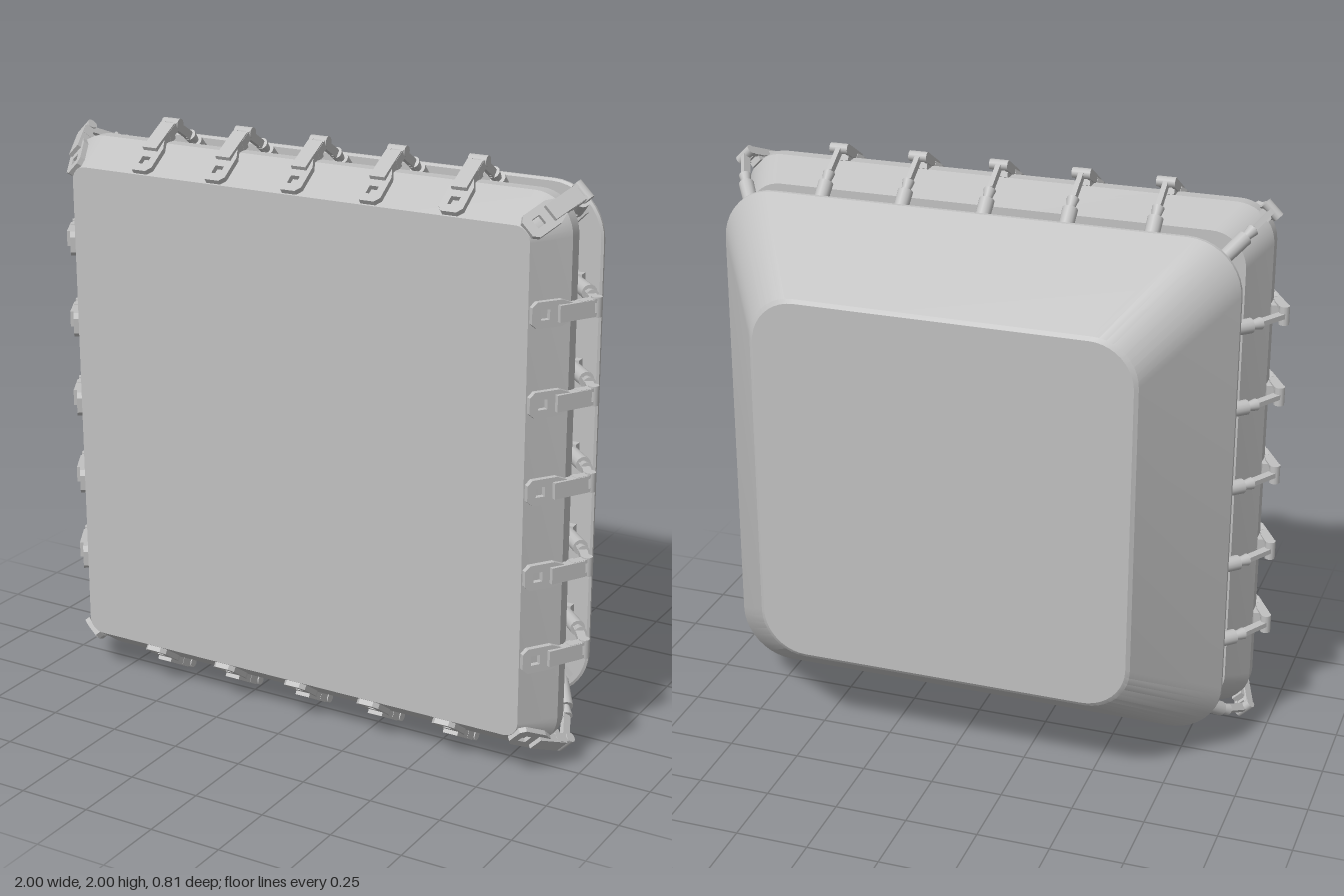
import * as THREE from 'three';
import { toCreasedNormals } from 'three/addons/utils/BufferGeometryUtils.js';

const steel = new THREE.MeshStandardMaterial({ color: 0xc0c0c0 });
steel.name = 'grey steel';

// Closed solid through rounded squares, each [z, half width, corner radius], front to back
function roundedLoft(sections) {
  const seg = 10, n = 4 * (seg + 1), pos = [], idx = [];
  for (const [z, half, r] of sections) {
    for (let q = 0; q < 4; q++) {
      const mid = Math.PI / 4 + q * Math.PI / 2;
      const cx = Math.sign(Math.cos(mid)) * (half - r), cy = Math.sign(Math.sin(mid)) * (half - r);
      for (let s = 0; s <= seg; s++) {
        const a = (q + s / seg) * Math.PI / 2;
        pos.push(cx + r * Math.cos(a), cy + r * Math.sin(a), z);
      }
    }
  }
  const last = sections.length - 1, front = pos.length / 3, back = front + 1;
  pos.push(0, 0, sections[0][0], 0, 0, sections[last][0]);
  for (let j = 0; j < n; j++) {
    const k = (j + 1) % n;
    for (let i = 0; i < last; i++) {
      const a = i * n + j, b = i * n + k;
      idx.push(a, a + n, b, b, a + n, b + n);
    }
    idx.push(front, j, k, back, last * n + k, last * n + j);
  }
  const g = new THREE.BufferGeometry();
  g.setAttribute('position', new THREE.Float32BufferAttribute(pos, 3));
  g.setIndex(idx);
  return toCreasedNormals(g, 0.33);
}

function add(parent, name, geometry) {
  const m = new THREE.Mesh(geometry, steel);
  m.name = name;
  parent.add(m);
  return m;
}

// Box or rod between two [outward, z] points in the plane of a clamp
function bar(parent, name, a, b, width, thick, round = false) {
  const dx = b[0] - a[0], dz = b[1] - a[1], len = Math.hypot(dx, dz);
  const g = round
    ? new THREE.CylinderGeometry(thick / 2, width / 2, len, 14).rotateZ(-Math.PI / 2)
    : new THREE.BoxGeometry(len, width, thick);
  const m = add(parent, name, g);
  m.position.set((a[0] + b[0]) / 2, 0, (a[1] + b[1]) / 2);
  m.rotation.y = Math.atan2(-dz, dx);
  return m;
}

// Slotted plate lying on the front bevel
function hookPlateGeometry() {
  const s = new THREE.Shape();
  [[0, -0.026], [0.018, -0.042], [0.105, -0.042], [0.14, -0.028], [0.14, 0.028],
    [0.105, 0.042], [0.018, 0.042], [0, 0.026]]
    .forEach(([x, y], i) => (i ? s.lineTo(x, y) : s.moveTo(x, y)));
  const h = new THREE.Path();
  h.moveTo(0.03, -0.016);
  h.lineTo(0.03, 0.016);
  h.lineTo(0.062, 0.016);
  h.lineTo(0.062, -0.016);
  s.holes.push(h);
  return new THREE.ExtrudeGeometry(s, { depth: 0.018, bevelEnabled: false });
}
const hookPlate = hookPlateGeometry();

// One latch: hook plate, lever, hinge pin, strap, socket and foot
function makeClamp() {
  const c = new THREE.Group();
  const plate = add(c, 'hookPlate', hookPlate);
  plate.position.set(0.847, 0, 0.398);
  plate.rotation.y = Math.atan2(0.12, 0.085);
  bar(c, 'lever', [0.912, 0.335], [0.976, 0.225], 0.054, 0.03);
  bar(c, 'leverBase', [0.925, 0.29], [0.95, 0.225], 0.044, 0.03);
  const pin = add(c, 'hingePin', new THREE.CylinderGeometry(0.018, 0.018, 0.064, 12));
  pin.position.set(0.982, 0, 0.205);
  for (const y of [-0.022, 0.022]) {
    const ear = bar(c, 'hingeEar', [0.95, 0.262], [0.982, 0.205], 0.012, 0.03);
    ear.position.y = y;
  }
  bar(c, 'strap', [0.982, 0.205], [0.925, 0.11], 0.017, 0.028);
  bar(c, 'strapEnd', [0.93, 0.12], [0.885, 0.06], 0.017, 0.028);
  bar(c, 'socketNeck', [0.925, 0.105], [0.9, 0.075], 0.042, 0.028, true);
  bar(c, 'socket', [0.9, 0.075], [0.815, -0.012], 0.052, 0.048, true);
  bar(c, 'foot', [0.735, -0.026], [0.835, -0.026], 0.06, 0.036);
  bar(c, 'footBrace', [0.755, -0.022], [0.83, 0.014], 0.04, 0.03);
  return c;
}

export function createModel() {
  const model = new THREE.Group();
  const body = new THREE.Group();
  body.name = 'hatch';
  body.position.y = 1;
  model.add(body);

  // Front door panel and tapered rear housing
  add(body, 'frontPanel', roundedLoft([
    [0.402, 0.845, 0.05], [0.28, 0.93, 0.13], [0.235, 0.93, 0.13], [0.1, 0.87, 0.12]]));
  add(body, 'rearHousing', roundedLoft([
    [-0.036, 0.885, 0.175], [-0.041, 0.893, 0.182], [-0.052, 0.892, 0.182],
    [-0.396, 0.658, 0.155], [-0.405, 0.645, 0.15]]));

  // Five clamps on each side and one on each corner
  for (let side = 0; side < 4; side++) {
    const edge = new THREE.Group();
    edge.name = 'edgeClamps';
    edge.rotation.z = side * Math.PI / 2;
    for (let i = -2; i <= 2; i++) {
      const clamp = makeClamp();
      clamp.name = 'edgeClamp';
      clamp.position.y = i * 0.286;
      edge.add(clamp);
    }
    const corner = new THREE.Group();
    corner.name = 'cornerClamp';
    corner.rotation.z = Math.PI / 4;
    const clamp = makeClamp();
    clamp.name = 'clamp';
    clamp.position.x = 0.325;
    corner.add(clamp);
    edge.add(corner);
    body.add(edge);
  }
  return model;
}
